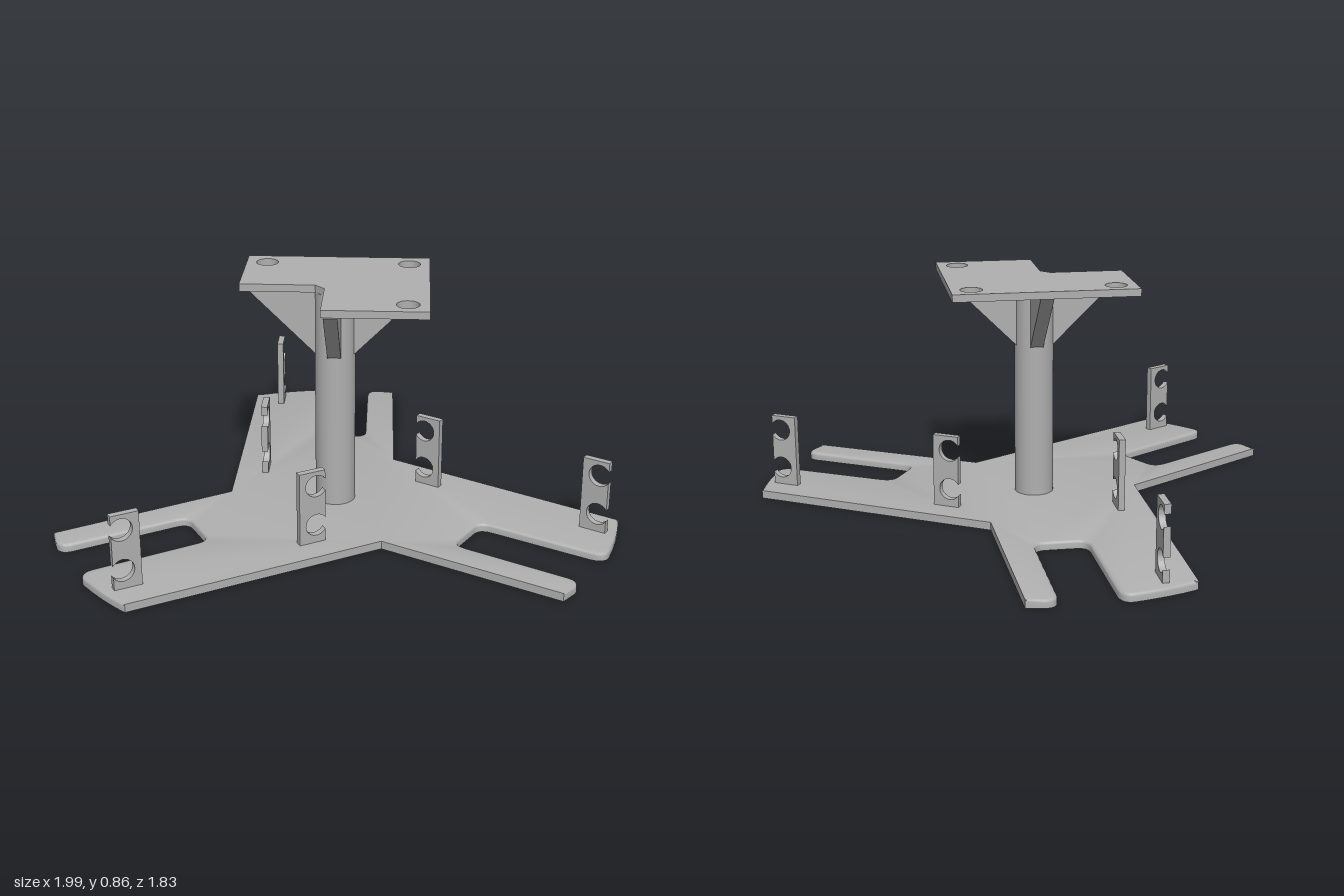
import * as THREE from 'three';
import { toCreasedNormals } from 'three/addons/utils/BufferGeometryUtils.js';

const CX = -0.027, CZ = 0.1;       // axis of the column and the three arms
const BASE = 0.03, PLATE_Y = 0.83; // top of base, underside of top plate
const TURN = Math.PI * 2 / 3;

// Outline of one forked arm as [x, z, rounded edge 0/1], relative to the axis
function armOutline() {
  const pts = [[-0.387, -0.017, 0], [-0.387, -0.953, 0]];
  const a0 = Math.atan2(-0.953, -0.387), a1 = Math.atan2(-1.017, -0.168);
  for (const t of [0.05, 0.25, 0.5, 0.75]) {
    const a = a0 + (a1 - a0) * t;
    pts.push([Math.cos(a) * 1.03, Math.sin(a) * 1.03, 1]);
  }
  const corner = (ax, az, bx, bz, cx, cz) => {
    const curve = new THREE.QuadraticBezierCurve(
      new THREE.Vector2(ax, az), new THREE.Vector2(bx, bz), new THREE.Vector2(cx, cz));
    curve.getPoints(8).forEach(p => pts.push([p.x, p.y, 1]));
  };
  corner(-0.168, -1.017, -0.12, -1.026, -0.115, -0.969);
  corner(-0.104, -0.595, -0.103, -0.546, -0.061, -0.546);
  corner(0.046, -0.546, 0.09, -0.546, 0.089, -0.595);
  corner(0.083, -0.975, 0.082, -1.026, 0.131, -1.022);
  pts.push([0.186, -1.013, 1], [0.19, -1.012, 0]);
  return pts;
}

// Three-armed slab whose flagged edges are rounded over at the top
function baseGeometry() {
  const outline = [];
  for (let k = 0; k < 3; k++) {
    const c = Math.cos(k * TURN), s = Math.sin(k * TURN);
    for (const [x, z, f] of armOutline()) outline.push([x * c - z * s, x * s + z * c, f]);
  }
  const n = outline.length;
  const inward = outline.map((p, i) => {
    const a = outline[(i + n - 1) % n], b = outline[(i + 1) % n];
    return new THREE.Vector2(a[1] - b[1], b[0] - a[0]).normalize().multiplyScalar(p[2]);
  });
  const rings = [[0, 0], [0.02, 0], [0.025, 0.0014], [0.0285, 0.005], [BASE, 0.01]];
  const pos = [], idx = [];
  for (const [y, inset] of rings)
    outline.forEach((p, i) => pos.push(p[0] + inward[i].x * inset, y, p[1] + inward[i].y * inset));
  for (let r = 0; r < rings.length - 1; r++)
    for (let i = 0; i < n; i++) {
      const j = (i + 1) % n, a = r * n + i, b = r * n + j, c = b + n, d = a + n;
      idx.push(a, d, c, a, c, b);
    }
  const top = (rings.length - 1) * n;
  const contour = outline.map(p => new THREE.Vector2(p[0], p[1]));
  for (const [a, b, c] of THREE.ShapeUtils.triangulateShape(contour, []))
    idx.push(a, b, c, top + c, top + b, top + a);
  const geo = new THREE.BufferGeometry();
  geo.setAttribute('position', new THREE.Float32BufferAttribute(pos, 3));
  geo.setIndex(idx);
  return toCreasedNormals(geo, 0.6);
}

function extrude(shape, depth) {
  const geo = new THREE.ExtrudeGeometry(shape, { depth, bevelEnabled: false, curveSegments: 24 });
  return toCreasedNormals(geo, 0.6);
}

// Upright clip with two round notches open on one side
function clipGeometry() {
  const w = 0.098, h = 0.27, r = 0.04, cx = w - 0.034, a = Math.acos(0.034 / r);
  const s = new THREE.Shape();
  s.moveTo(0, 0);
  s.lineTo(w, 0);
  for (const y of [0.067, 0.215]) s.absarc(cx, y, r, -a, a, true);
  s.lineTo(w, h);
  s.lineTo(0, h);
  s.closePath();
  return extrude(s, 0.024);
}

// Notched mounting plate with three bolt holes
function plateGeometry() {
  const corners = [[-0.36, -0.2], [-0.36, 0.131], [-0.094, 0.131], [-0.06, 0.167],
    [-0.06, 0.392], [0.304, 0.392], [0.304, -0.2]];
  const s = new THREE.Shape(corners.map(([x, z]) => new THREE.Vector2(x, -z)));
  for (const [x, z] of [[-0.285, -0.125], [0.23, -0.125], [0.23, 0.32]])
    s.holes.push(new THREE.Path().absarc(x, -z, 0.04, 0, Math.PI * 2, true));
  return extrude(s, 0.027).rotateX(-Math.PI / 2);
}

export function createModel() {
  const metal = new THREE.MeshStandardMaterial({ color: 0xb0b0b0 });
  metal.name = 'grey metal';
  const model = new THREE.Group();
  model.name = 'threeArmStand';
  const add = (name, geo, parent, x = 0, y = 0, z = 0, ry = 0) => {
    const mesh = new THREE.Mesh(geo, metal);
    mesh.name = name;
    mesh.position.set(x, y, z);
    mesh.rotation.y = ry;
    parent.add(mesh);
  };

  add('base', baseGeometry(), model, CX, 0, CZ);
  const height = PLATE_Y - BASE;
  add('column', new THREE.CylinderGeometry(0.072, 0.072, height, 48), model, CX, BASE + height / 2, CZ);
  add('topPlate', plateGeometry(), model, 0, PLATE_Y, 0);

  // Four triangular braces under the top plate
  const tri = new THREE.Shape([[0.04, 0.572], [0.3, PLATE_Y], [0.04, PLATE_Y]]
    .map(p => new THREE.Vector2(...p)));
  const brace = extrude(tri, 0.048).translate(0, 0, -0.024);
  for (let k = 0; k < 4; k++) add('brace', brace, model, CX, 0, CZ, k * Math.PI / 2);

  // An outer and an inner clip on each arm
  const clip = clipGeometry();
  for (let k = 0; k < 3; k++) {
    const arm = new THREE.Group();
    arm.name = 'armClips';
    arm.position.set(CX, BASE, CZ);
    arm.rotation.y = -k * TURN;
    add('outerClip', clip, arm, -0.29, 0, -0.856, Math.PI / 2);
    add('innerClip', clip, arm, -0.266, 0, -0.283, -Math.PI / 2);
    model.add(arm);
  }
  return model;
}
